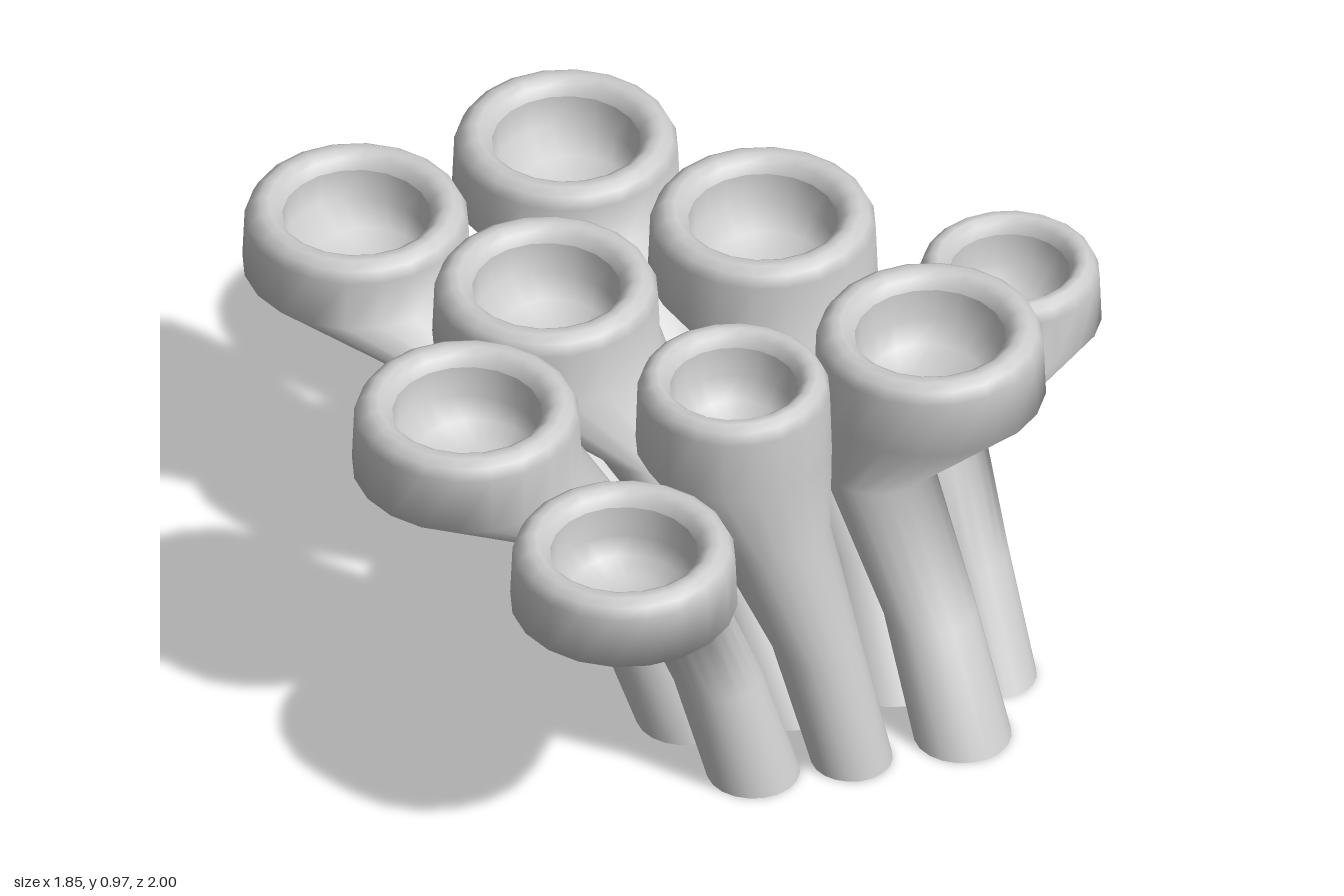
import * as THREE from 'three';

const SIDES = 20;
const material = new THREE.MeshStandardMaterial({ color: 0xcccccc, side: THREE.DoubleSide });

// Skin a stack of horizontal rings { x, y, z, r }, closing the last one with a point.
// A ring given twice makes a sharp edge.
function loft(rings) {
  const positions = [], index = [];
  for (const { x, y, z, r } of rings) {
    for (let i = 0; i < SIDES; i++) {
      const a = (i / SIDES) * Math.PI * 2;
      positions.push(x + r * Math.sin(a), y, z + r * Math.cos(a));
    }
  }
  const last = rings.length - 1;
  for (let k = 0; k < last; k++) {
    for (let i = 0; i < SIDES; i++) {
      const j = (i + 1) % SIDES;
      const a = k * SIDES + i, b = k * SIDES + j;
      index.push(a, b, b + SIDES, a, b + SIDES, a + SIDES);
    }
  }
  const tip = rings[last];
  positions.push(tip.x, tip.y - 0.005, tip.z);
  for (let i = 0; i < SIDES; i++) {
    index.push(last * SIDES + i, last * SIDES + (i + 1) % SIDES, rings.length * SIDES);
  }
  const geometry = new THREE.BufferGeometry();
  geometry.setAttribute('position', new THREE.Float32BufferAttribute(positions, 3));
  geometry.setIndex(index);
  geometry.computeVertexNormals();
  return geometry;
}

// One bent stalk that flares into a hollow cup.
function makeStalk({ base, knee, neck, cup, radii, R, H }) {
  const ring = ([x, z], y, r) => ({ x, y, z, r });
  const toNeck = (t) => [cup[0] + (neck[0] - cup[0]) * t, cup[1] + (neck[1] - cup[1]) * t];
  const lip = ring(cup, H - 0.035, 0.65 * R);
  const rings = [
    // stalk, open at the foot
    ring(base, 0, radii[0]),
    ring(knee, 0.31 * H, radii[1]),
    ring(neck, 0.605 * H, radii[2]),
    // cup wall
    ring(cup, 0.805 * H, R),
    ring(cup, H - 0.04, 0.98 * R),
    // rounded rim
    ring(cup, H - 0.014, 0.93 * R),
    ring(cup, H, 0.85 * R),
    ring(cup, H, 0.77 * R),
    ring(cup, H - 0.012, 0.7 * R),
    lip,
    // hollow
    lip,
    ring(cup, H - 0.11, 0.63 * R),
    ring(toNeck(0.08), H - 0.155, 0.5 * R),
    ring(toNeck(0.15), H - 0.18, 0.25 * R),
  ];
  const mesh = new THREE.Mesh(loft(rings), material);
  mesh.name = 'cupStalk';
  return mesh;
}

export function createModel() {
  const group = new THREE.Group();
  group.name = 'cupCluster';
  const wide = [0.11, 0.105, 0.125];
  // centres are [x, z]
  const stalks = [
    { base: [-0.01, 0.13], knee: [-0.17, -0.08], neck: [-0.40, -0.33], cup: [-0.67, -0.61], R: 0.256, H: 0.83 },
    { base: [0.21, 0.13], knee: [0.13, -0.09], neck: [-0.04, -0.42], cup: [-0.16, -0.747], R: 0.256, H: 0.85 },
    { base: [0.355, 0.295], knee: [0.325, 0.13], neck: [0.26, -0.09], cup: [0.19, -0.30], R: 0.258, H: 0.905 },
    { base: [0.115, 0.33], knee: [0.035, 0.19], neck: [-0.14, 0.0], cup: [-0.33, -0.19], R: 0.256, H: 0.88 },
    { base: [0.585, 0.335], knee: [0.55, 0.19], neck: [0.515, 0.06], cup: [0.715, -0.13], R: 0.207, H: 0.80, radii: [0.087, 0.09, 0.1] },
    { base: [0.46, 0.53], knee: [0.41, 0.42], neck: [0.335, 0.21], cup: [0.46, 0.20], R: 0.26, H: 0.905 },
    { base: [-0.13, 0.33], knee: [-0.23, 0.30], neck: [-0.36, 0.27], cup: [-0.61, 0.25], R: 0.258, H: 0.905 },
    { base: [0.2, 0.56], knee: [0.13, 0.51], neck: [0.035, 0.44], cup: [-0.027, 0.37], R: 0.22, H: 0.97, radii: [0.092, 0.1, 0.14] },
    { base: [-0.025, 0.56], knee: [-0.1, 0.53], neck: [-0.2, 0.53], cup: [-0.362, 0.745], R: 0.255, H: 0.84, radii: [0.105, 0.1, 0.1] },
  ];
  for (const stalk of stalks) group.add(makeStalk({ radii: wide, ...stalk }));
  return group;
}
